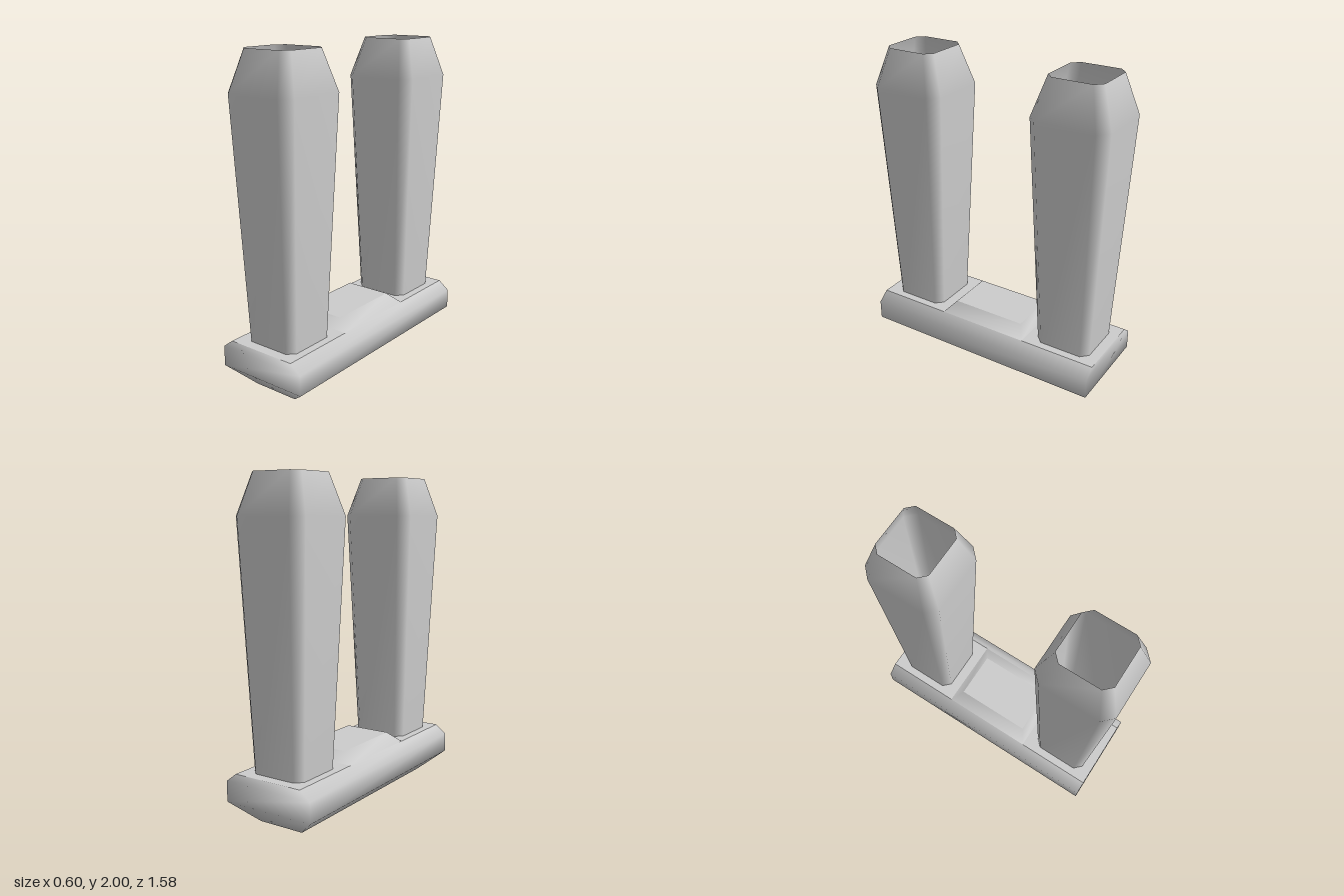
import * as THREE from 'three';
import { mergeGeometries, mergeVertices } from 'three/addons/utils/BufferGeometryUtils.js';

// Rectangle ring at height y, half sizes hx and hz; a corner cut c makes it an octagon
function ring(y, hx, hz, c = 0) {
  const corners = c
    ? [[hx, hz - c], [hx - c, hz], [c - hx, hz], [-hx, hz - c], [-hx, c - hz], [c - hx, -hz], [hx - c, -hz], [hx, c - hz]]
    : [[hx, hz], [-hx, hz], [-hx, -hz], [hx, -hz]];
  return corners.map(([x, z]) => [x, y, z]);
}

// Skin stacked rings from bottom to top, with shared (smooth) vertices
function loft(rings, capBottom = false) {
  const n = rings[0].length;
  const index = [];
  for (let r = 0; r < rings.length - 1; r++) {
    for (let i = 0; i < n; i++) {
      const a = r * n + i, b = r * n + (i + 1) % n;
      index.push(a, a + n, b, b, a + n, b + n);
    }
  }
  if (capBottom) for (let i = 1; i < n - 1; i++) index.push(0, i, i + 1);
  const geometry = new THREE.BufferGeometry();
  geometry.setAttribute('position', new THREE.Float32BufferAttribute(rings.flat(2), 3));
  geometry.setIndex(index);
  return geometry;
}

export function createModel() {
  const model = new THREE.Group();
  const material = new THREE.MeshStandardMaterial({ color: 0xcccccc });
  const openMaterial = new THREE.MeshStandardMaterial({ color: 0xcccccc, side: THREE.DoubleSide });

  function add(name, geometry, mat, x = 0, y = 0, z = 0) {
    const mesh = new THREE.Mesh(geometry, mat);
    mesh.name = name;
    mesh.position.set(x, y, z);
    model.add(mesh);
  }

  // Flat horizontal panel facing up
  const panel = (w, d) => new THREE.PlaneGeometry(w, d).rotateX(-Math.PI / 2);

  // Base hull and the sloping sides of the raised pad, smoothed together
  const hull = loft([
    ring(0, 0.15, 0.67),
    ring(0.125, 0.3, 0.79),
    ring(0.25, 0.3, 0.79),
    ring(0.305, 0.23, 0.79),
  ], true);
  const padSides = loft([ring(0.305, 0.23, 0.3), ring(0.365, 0.15, 0.245)]);
  const base = mergeVertices(mergeGeometries([hull, padSides]));
  base.computeVertexNormals();
  add('base', base, material);
  add('padTop', panel(0.3, 0.49), material, 0, 0.365, 0);

  // Tapered, open-topped towers, each on its own flat plate
  const tower = loft([
    ring(0.305, 0.18, 0.18, 0.045),
    ring(1.76, 0.24, 0.245, 0.062),
    ring(2, 0.17, 0.167, 0.045),
  ]);
  tower.computeVertexNormals();
  for (const [side, s] of [['front', 1], ['back', -1]]) {
    add(side + 'Plate', panel(0.46, 0.49), material, 0, 0.305, s * 0.545);
    add(side + 'Tower', tower, openMaterial, 0, 0, s * 0.545);
  }
  return model;
}
